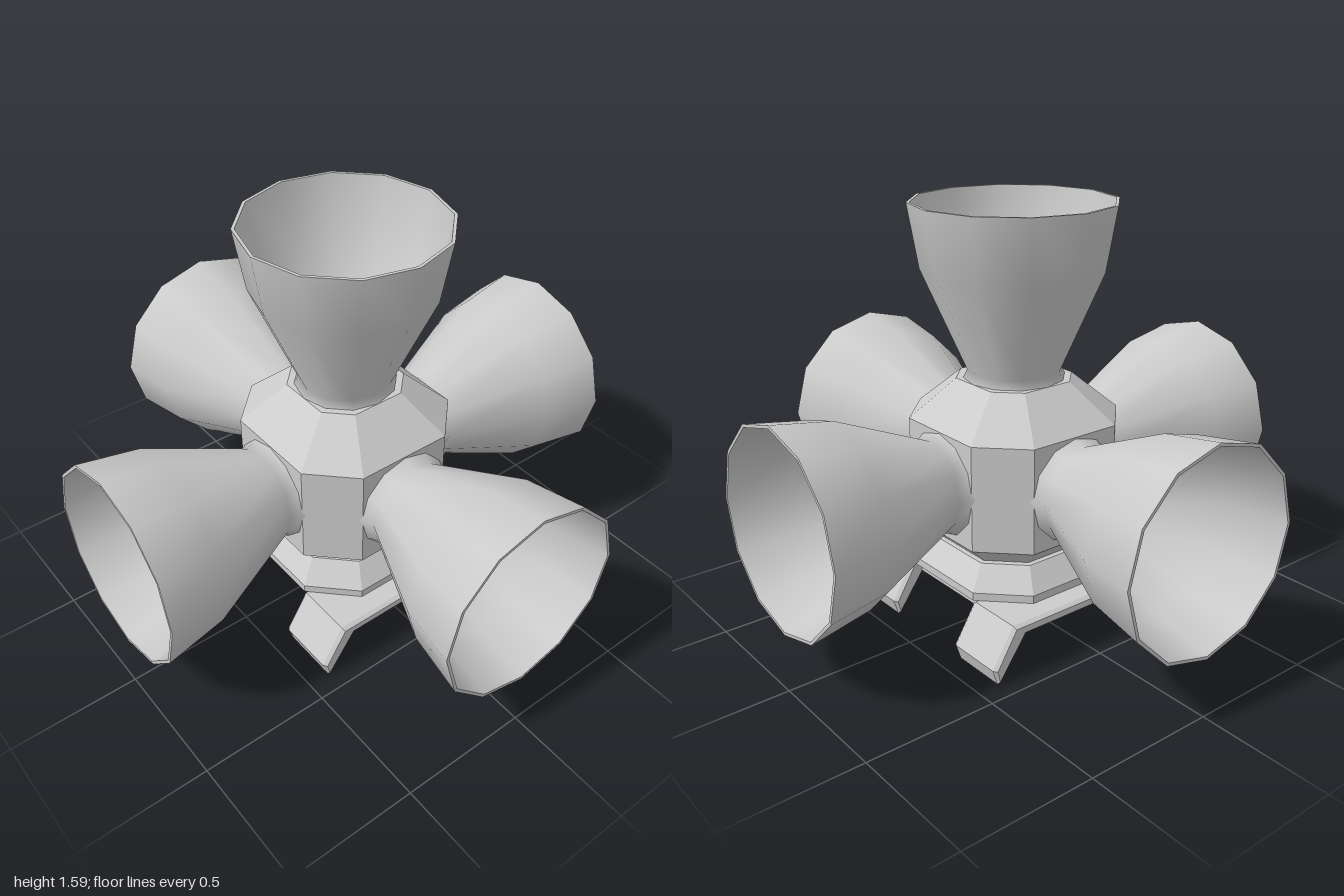
import * as THREE from 'three';

const CY = 0.6; // height of the hub centre
const grey = new THREE.MeshStandardMaterial({ color: 0xcccccc });
const greyFlat = new THREE.MeshStandardMaterial({ color: 0xcccccc, flatShading: true });

function add(parent, name, geometry, material) {
  const mesh = new THREE.Mesh(geometry, material);
  mesh.name = name;
  parent.add(mesh);
  return mesh;
}

// Octagon with wide sides on the axes and narrow corners, lofted through [halfWidth, y] rows
function octLoft(rows) {
  const k = 0.55;
  const oct = [[1, -k], [1, k], [k, 1], [-k, 1], [-1, k], [-1, -k], [-k, -1], [k, -1]];
  const pos = [], idx = [];
  for (const [h, y] of rows) for (const [x, z] of oct) pos.push(x * h, y, z * h);
  for (let r = 0; r < rows.length - 1; r++) {
    for (let i = 0; i < 8; i++) {
      const a = r * 8 + i, b = r * 8 + (i + 1) % 8;
      idx.push(a, a + 8, b + 8, a, b + 8, b);
    }
  }
  const g = new THREE.BufferGeometry();
  g.setAttribute('position', new THREE.Float32BufferAttribute(pos, 3));
  g.setIndex(idx);
  const flat = g.toNonIndexed();
  flat.computeVertexNormals();
  return flat;
}

// Lathe from [radius, distance] pairs
const lathe = (pts) => new THREE.LatheGeometry(pts.map(([r, y]) => new THREE.Vector2(r, y)), 12);

// Flared horn along +y, with an outer wall, a thin rim and a closed inner bowl
function makeHorn(name) {
  const horn = new THREE.Group();
  horn.name = name;
  add(horn, 'hornOuter', lathe([[0.2, 0.335], [0.175, 0.385], [0.34, 0.765], [0.38, 1]]), grey);
  add(horn, 'hornRim', lathe([[0.38, 1], [0.368, 1]]), grey);
  add(horn, 'hornInner', lathe([[0.368, 1], [0.326, 0.765], [0.16, 0.42], [0, 0.4]]), grey);
  return horn;
}

// Bar running along x, with both ends bent down into feet
function makeLegBar() {
  const right = [[0.295, 0.16], [0.415, 0.0], [0.435, 0.06], [0.345, 0.205]];
  const outline = [...right, ...right.map(([x, y]) => [-x, y]).reverse()];
  const shape = new THREE.Shape(outline.map(([x, y]) => new THREE.Vector2(x, y)));
  const width = 0.245, bevel = 0.015;
  const g = new THREE.ExtrudeGeometry(shape, {
    depth: width - 2 * bevel, bevelThickness: bevel, bevelSize: 0.01, bevelOffset: -0.01, bevelSegments: 1,
  });
  g.translate(0, 0, -width / 2 + bevel);
  return g;
}

export function createModel() {
  const model = new THREE.Group();
  model.name = 'hornCluster';

  // Faceted hub
  add(model, 'hub', octLoft([
    [0, 0.255], [0.19, 0.255], [0.345, 0.4], [0.345, 0.8], [0.19, 0.945], [0, 0.945],
  ]), greyFlat);

  // Open collar under the hub
  add(model, 'baseCollar', octLoft([
    [0.22, 0.29], [0.22, 0.205], [0.345, 0.205], [0.345, 0.235], [0.28, 0.32], [0.22, 0.32],
  ]), greyFlat);

  // Top horn and four side horns
  const topHorn = makeHorn('topHorn');
  topHorn.position.y = CY - 0.01;
  model.add(topHorn);
  ['frontHorn', 'leftHorn', 'backHorn', 'rightHorn'].forEach((name, i) => {
    const horn = makeHorn(name);
    horn.rotation.set(Math.PI / 2, i * Math.PI / 2, 0, 'YXZ');
    horn.position.y = CY;
    model.add(horn);
  });

  // Leg frame: two footed bars joined by two cross members
  for (const s of [-1, 1]) {
    add(model, s > 0 ? 'frontLegBar' : 'backLegBar', makeLegBar(), greyFlat).position.z = s * 0.3125;
    add(model, s > 0 ? 'leftCrossMember' : 'rightCrossMember',
      new THREE.BoxGeometry(0.09, 0.045, 0.42), greyFlat).position.set(s * 0.265, 0.1825, 0);
  }

  return model;
}
